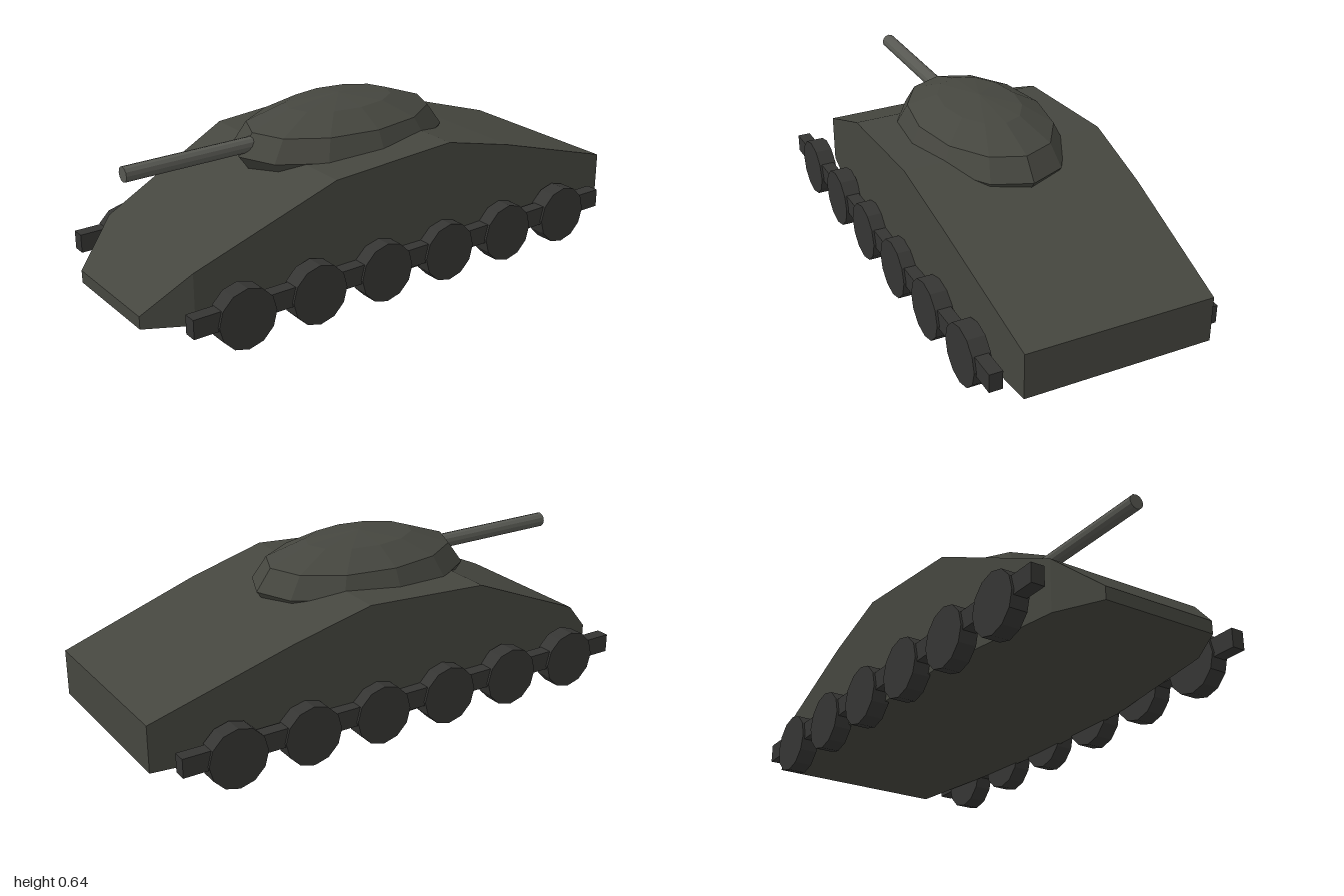
import * as THREE from 'three';

const paint = (color) => new THREE.MeshStandardMaterial({ color, flatShading: true });
const hullPaint = paint(0x45463f);
const runningGearPaint = paint(0x353533);
const barrelPaint = paint(0x575852);

function addMesh(parent, name, geometry, material, x = 0, y = 0, z = 0) {
  const mesh = new THREE.Mesh(geometry, material);
  mesh.name = name;
  mesh.position.set(x, y, z);
  parent.add(mesh);
  return mesh;
}

// Hull skin through rectangular sections: [z, half width, bottom, top], front to back
function hullGeometry() {
  const sections = [
    [1.0, 0.215, 0.065, 0.112],
    [0.84, 0.3, 0.065, 0.255],
    [0.32, 0.38, 0.065, 0.483],
    [-0.17, 0.39, 0.065, 0.515],
    [-0.47, 0.379, 0.078, 0.438],
    [-1.0, 0.35, 0.1, 0.272],
  ];
  const positions = [];
  const index = [];
  for (const [z, w, bottom, top] of sections) {
    positions.push(-w, bottom, z, w, bottom, z, w, top, z, -w, top, z);
  }
  for (let i = 0; i < sections.length - 1; i++) {
    for (let j = 0; j < 4; j++) {
      const a = i * 4 + j;
      const b = i * 4 + ((j + 1) % 4);
      index.push(a, a + 4, b, b, a + 4, b + 4);
    }
  }
  const e = (sections.length - 1) * 4;
  index.push(0, 1, 2, 0, 2, 3); // nose plate
  index.push(e, e + 2, e + 1, e, e + 3, e + 2); // rear plate
  const indexed = new THREE.BufferGeometry();
  indexed.setAttribute('position', new THREE.Float32BufferAttribute(positions, 3));
  indexed.setIndex(index);
  const geometry = indexed.toNonIndexed();
  geometry.computeVertexNormals();
  return geometry;
}

export function createModel() {
  const model = new THREE.Group();
  model.name = 'tank';

  addMesh(model, 'hull', hullGeometry(), hullPaint);

  // Faceted turret, sunk into the deck
  const dome = new THREE.SphereGeometry(1, 12, 6).scale(0.28, 0.158, 0.435);
  addMesh(model, 'turret', dome, hullPaint, 0, 0.485, 0.035);

  // Gun barrel
  const barrel = new THREE.CylinderGeometry(0.028, 0.028, 0.6, 12).rotateX(Math.PI / 2);
  addMesh(model, 'gunBarrel', barrel, barrelPaint, 0, 0.524, 0.62);

  // Wheels and the bar that joins them, on both sides
  const wheel = new THREE.CylinderGeometry(0.111, 0.111, 0.067, 12).rotateZ(Math.PI / 2);
  const bar = new THREE.BoxGeometry(0.05, 0.07, 1.84);
  for (const [side, s] of [['left', 1], ['right', -1]]) {
    const gear = new THREE.Group();
    gear.name = `${side}RunningGear`;
    addMesh(gear, `${side}TrackBar`, bar, runningGearPaint, s * 0.407, 0.131, 0);
    for (let i = 0; i < 6; i++) {
      addMesh(gear, `${side}Wheel${i + 1}`, wheel, runningGearPaint, s * 0.407, 0.111, 0.72 - i * 0.288);
    }
    model.add(gear);
  }
  return model;
}
